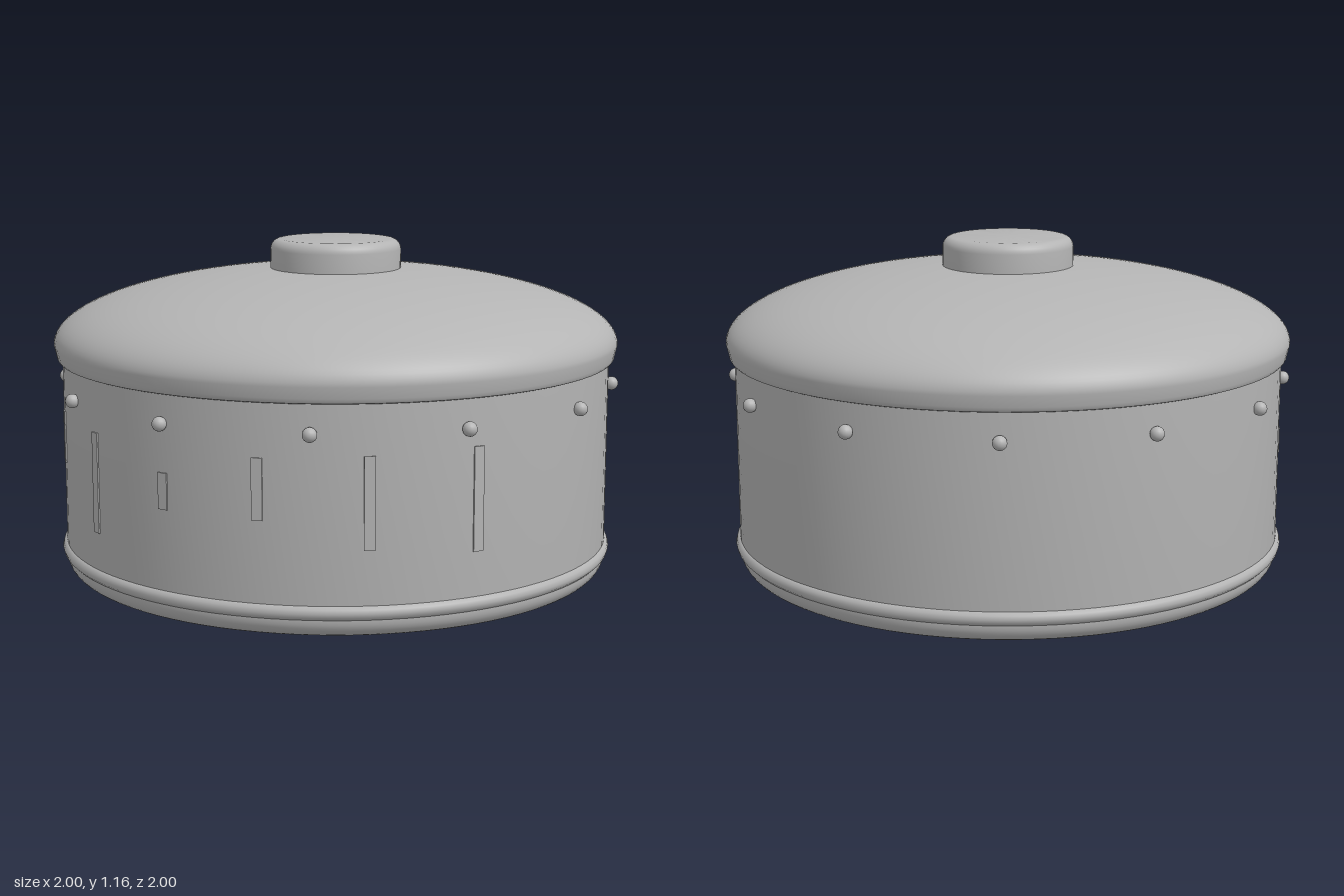
import * as THREE from 'three';
import { toCreasedNormals } from 'three/addons/utils/BufferGeometryUtils.js';

export function createModel() {
  const model = new THREE.Group();
  const metal = new THREE.MeshStandardMaterial({ color: 0xb4b4b4 });
  metal.name = 'grey metal';

  function add(name, geometry, parent = model) {
    const mesh = new THREE.Mesh(geometry, metal);
    mesh.name = name;
    parent.add(mesh);
    return mesh;
  }

  // Turned parts: profile runs from the bottom to the top
  function turned(name, points, segments = 96) {
    const profile = points.map(([r, y]) => new THREE.Vector2(r, y));
    return add(name, toCreasedNormals(new THREE.LatheGeometry(profile, segments), 0.6));
  }

  // Quarter-ellipse arc from angle a to b
  function arc(cx, cy, rx, ry, a, b, n) {
    return Array.from({ length: n + 1 }, (_, i) => {
      const t = a + (b - a) * i / n;
      return [Math.max(0, cx + rx * Math.cos(t)), cy + ry * Math.sin(t)];
    });
  }
  const Q = Math.PI / 2;

  // Drum body with a rounded foot
  turned('body', [[0, 0], ...arc(0.9, 0.06, 0.064, 0.06, -Q, 0, 8), [0.964, 0.78], [0, 0.78]]);

  // Rolled band round the foot
  const band = add('footBand', new THREE.TorusGeometry(0.953, 0.026, 12, 96));
  band.rotation.x = Q;
  band.position.y = 0.088;

  // Overhanging domed lid
  turned('lid', [
    [0, 0.755], [0.972, 0.755],
    ...arc(0.972, 0.773, 0.012, 0.018, -Q, 0, 3),
    ...arc(0, 0.81, 0.993, 0.26, 0, Q, 32),
  ]);

  // Flat knob with a softened rim
  turned('knob', [[0, 1.03], [0.23, 1.03], ...arc(0.195, 1.13, 0.035, 0.035, 0, Q, 6), [0, 1.165]], 64);

  // Ring of rivets
  const rivets = new THREE.Group();
  rivets.name = 'rivets';
  model.add(rivets);
  const rivetShape = new THREE.SphereGeometry(0.024, 16, 12);
  for (let i = 0; i < 12; i++) {
    const a = i * Math.PI / 6;
    add('rivet', rivetShape, rivets).position.set(0.977 * Math.sin(a), 0.66, 0.977 * Math.cos(a));
  }

  // Thin streaks on the front: angle in degrees, bottom, top
  const streaks = new THREE.Group();
  streaks.name = 'streaks';
  model.add(streaks);
  for (const [degrees, low, high] of [
    [-62.5, 0.4, 0.49], [-41.5, 0.41, 0.59], [-20.5, 0.24, 0.58], [0, 0.38, 0.5],
    [20, 0.38, 0.58], [41, 0.29, 0.59], [62.5, 0.26, 0.6],
  ]) {
    const a = THREE.MathUtils.degToRad(degrees);
    const streak = add('streak', new THREE.BoxGeometry(0.036, high - low, 0.009), streaks);
    streak.position.set(0.964 * Math.sin(a), (low + high) / 2, 0.964 * Math.cos(a));
    streak.rotation.y = a;
  }

  return model;
}
